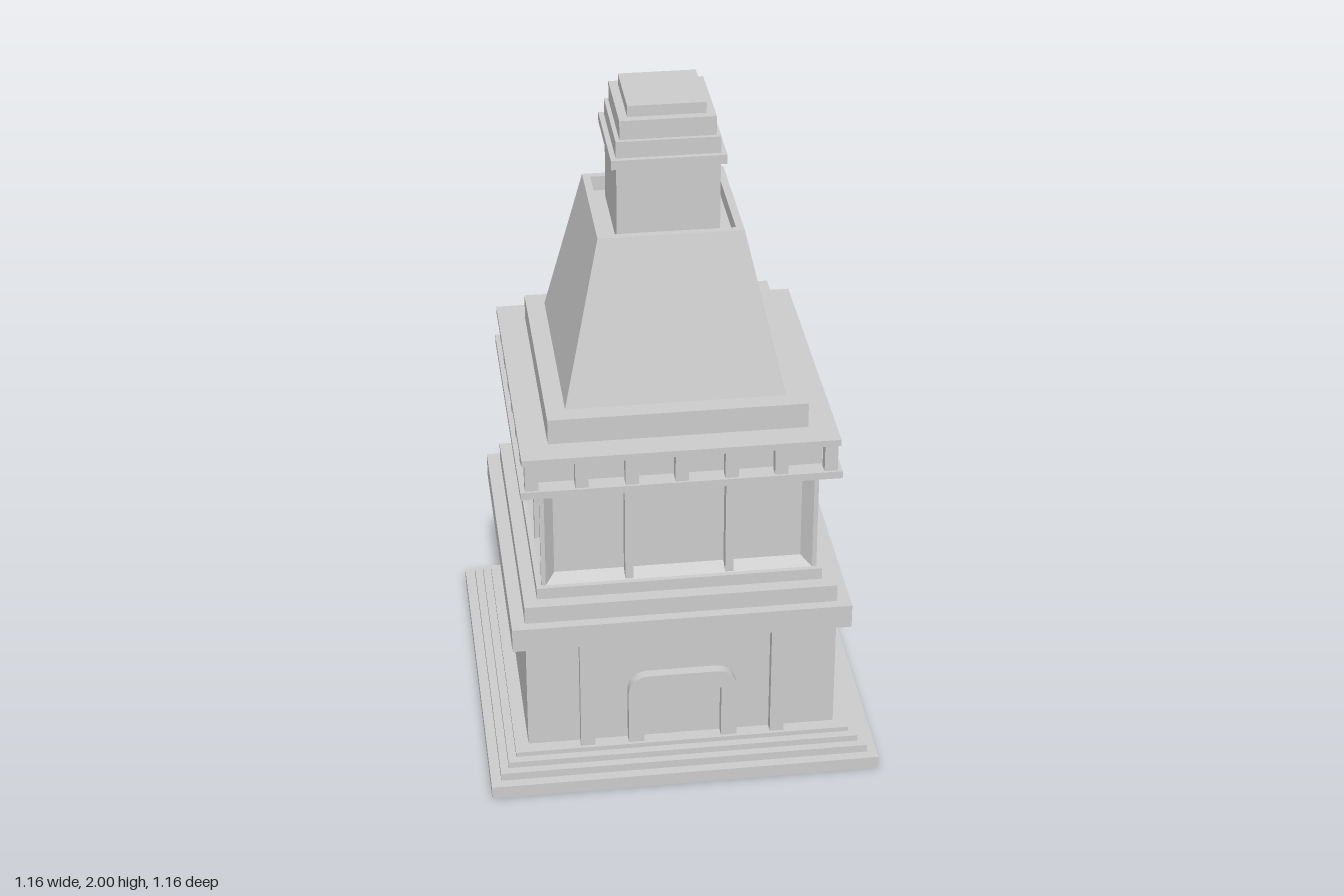
import * as THREE from 'three';

export function createModel() {
  const model = new THREE.Group();
  const mat = new THREE.MeshStandardMaterial({ color: 0xcccccc, flatShading: true });

  const add = (name, geometry, parent = model) => {
    const mesh = new THREE.Mesh(geometry, mat);
    mesh.name = name;
    parent.add(mesh);
    return mesh;
  };
  const group = (name) => {
    const g = new THREE.Group();
    g.name = name;
    model.add(g);
    return g;
  };
  // box given by its limits
  const block = (name, x0, x1, y0, y1, z0, z1, parent) =>
    add(name, new THREE.BoxGeometry(x1 - x0, y1 - y0, z1 - z0), parent)
      .position.set((x0 + x1) / 2, (y0 + y1) / 2, (z0 + z1) / 2);
  // centred slab of half width hx and half depth hz
  const slab = (name, y0, y1, hx, hz = hx, parent = model) =>
    block(name, -hx, hx, y0, y1, -hz, hz, parent);
  // four-sided solid of revolution from [half width, height] pairs
  const square = (name, profile, parent) =>
    add(name, new THREE.LatheGeometry(
      profile.map(([h, y]) => new THREE.Vector2(h * Math.SQRT2, y)), 4, Math.PI / 4), parent);

  // stepped plinth
  const plinth = group('plinth');
  [[0, 0.04, 0.58], [0.04, 0.065, 0.55], [0.065, 0.085, 0.525], [0.085, 0.1, 0.5]]
    .forEach(([y0, y1, h]) => slab('plinthStep', y0, y1, h, h, plinth));

  // lower body with pilasters, closer together at the front than at the back
  slab('lowerBody', 0.1, 0.46, 0.46);
  for (const s of [-1, 1]) {
    block('frontPilaster', s * 0.284 - 0.021, s * 0.284 + 0.021, 0.1, 0.46, 0.45, 0.49);
    block('backPilaster', s * 0.315 - 0.02, s * 0.315 + 0.02, 0.1, 0.46, -0.49, -0.45);
  }

  // fireplace surround with rounded top corners
  const arch = new THREE.Shape();
  const w = 0.162, top = 0.335, r = 0.06;
  arch.moveTo(-w, 0.1);
  arch.lineTo(-0.115, 0.1);
  arch.lineTo(-0.115, 0.275);
  arch.lineTo(0.115, 0.275);
  arch.lineTo(0.115, 0.1);
  arch.lineTo(w, 0.1);
  arch.lineTo(w, top - r);
  arch.absarc(w - r, top - r, r, 0, Math.PI / 2, false);
  arch.lineTo(-w + r, top);
  arch.absarc(-w + r, top - r, r, Math.PI / 2, Math.PI, false);
  add('fireplaceSurround', new THREE.ExtrudeGeometry(arch,
    { depth: 0.04, bevelEnabled: false, curveSegments: 8 })).position.z = 0.45;

  // ledges above the body
  slab('mantelLedge', 0.46, 0.535, 0.5, 0.49);
  slab('mantelStep', 0.535, 0.59, 0.46);
  slab('gallerySill', 0.59, 0.627, 0.42);

  // gallery: recessed panels with sloped sill and head
  const gallery = group('gallery');
  square('galleryPanels', [[0.405, 0.627], [0.365, 0.645], [0.365, 0.947], [0.405, 0.962]], gallery);

  // corner posts splayed towards the panels
  const postShape = new THREE.Shape([[0.36, 0.36], [0.405, 0.392], [0.405, 0.405], [0.392, 0.405]]
    .map(([x, y]) => new THREE.Vector2(x, y)));
  const postGeometry = new THREE.ExtrudeGeometry(postShape, { depth: 0.336, bevelEnabled: false });
  postGeometry.rotateX(-Math.PI / 2).translate(0, 0.627, 0);

  // one post and two mullions for each of the four sides
  for (let i = 0; i < 4; i++) {
    const side = new THREE.Group();
    side.name = 'gallerySide';
    side.rotation.y = i * Math.PI / 2;
    gallery.add(side);
    add('cornerPost', postGeometry, side);
    for (const s of [-1, 1])
      block('mullion', s * 0.147 - 0.012, s * 0.147 + 0.012, 0.627, 0.962, 0.36, 0.402, side);
  }

  // cornice: two thin slabs with a row of dentils between them
  slab('corniceLower', 0.962, 0.985, 0.462);
  slab('corniceCore', 0.985, 1.067, 0.411);
  slab('corniceUpper', 1.067, 1.087, 0.456);
  const dentils = group('dentils');
  for (let i = -3; i <= 3; i++) {
    const x = i * 0.143;
    block('frontDentil', x - 0.019, x + 0.019, 0.985, 1.067, 0.422, 0.455, dentils);
    block('backDentil', x - 0.019, x + 0.019, 0.985, 1.067, -0.45, -0.405, dentils);
  }
  for (const z of [0.295, 0.147, 0, -0.125, -0.268])
    for (const s of [-1, 1])
      block('sideDentil', s * 0.427 - 0.022, s * 0.427 + 0.022, 0.985, 1.067, z - 0.019, z + 0.019, dentils);

  // tapering hood with an open rim around the flue
  slab('hoodBase', 1.087, 1.165, 0.374);
  square('hood', [[0.318, 1.165], [0.208, 1.645], [0.186, 1.645], [0.186, 1.6], [0, 1.6]]);

  // flue with stepped cap
  const flue = group('flue');
  [[1.59, 1.832, 0.147], [1.832, 1.86, 0.163], [1.86, 1.91, 0.148], [1.91, 1.967, 0.136], [1.967, 2, 0.111]]
    .forEach(([y0, y1, h]) => slab('flueTier', y0, y1, h, h, flue));

  return model;
}
